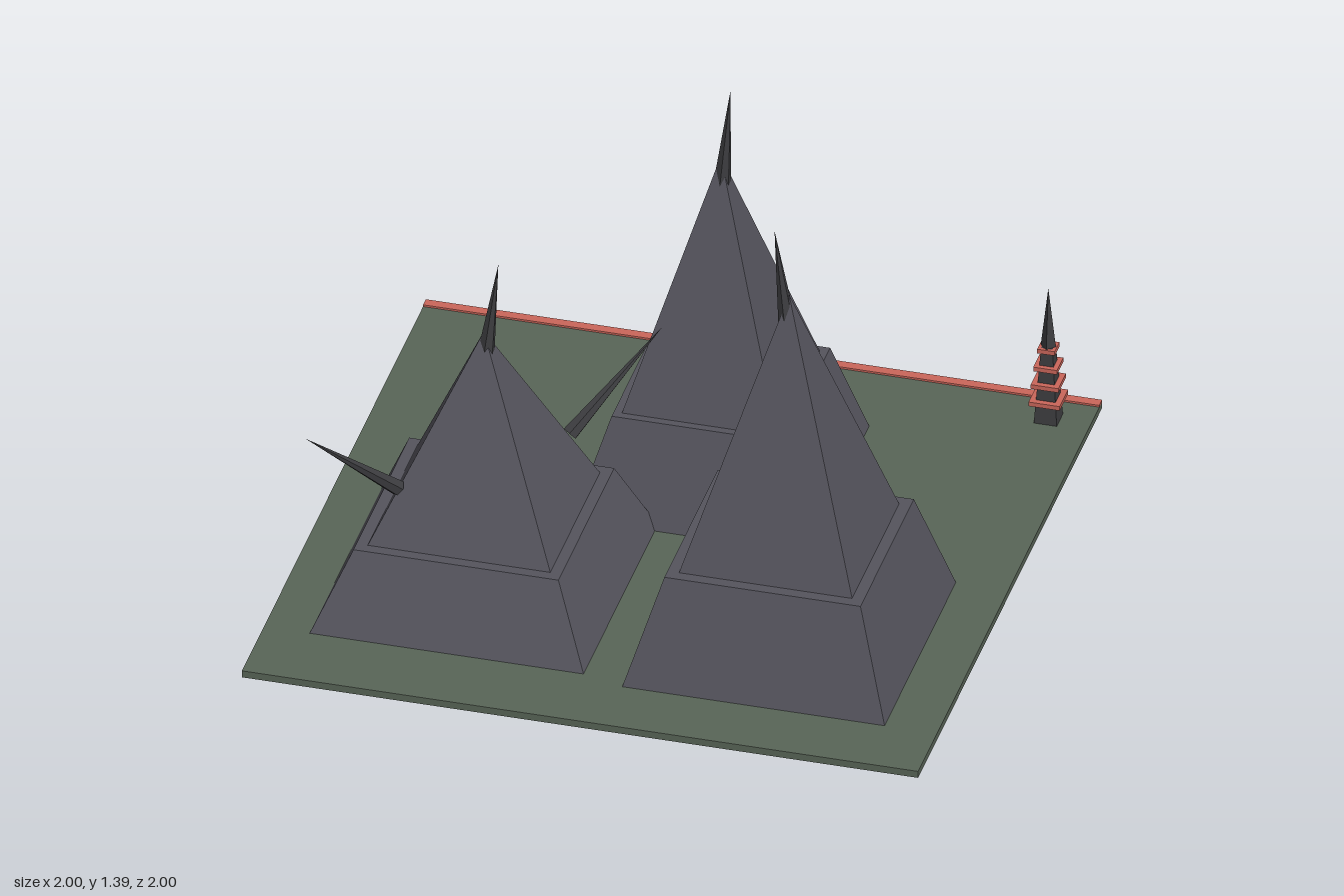
import * as THREE from 'three';

const material = (name, color) => {
  const m = new THREE.MeshStandardMaterial({ color, flatShading: true });
  m.name = name;
  return m;
};

export function createModel() {
  const rock = material('slate grey', 0x55545d);
  const horn = material('dark horn', 0x3c3c3f);
  const red = material('coral red', 0xcb665b);
  const moss = material('moss green', 0x596557);

  const model = new THREE.Group();
  model.name = 'spikedPyramids';

  const add = (parent, name, geometry, mat, x = 0, y = 0, z = 0) => {
    const mesh = new THREE.Mesh(geometry, mat);
    mesh.name = name;
    mesh.position.set(x, y, z);
    parent.add(mesh);
    return mesh;
  };

  // Square frustum with axis-aligned sides, from y0 up to y1
  const frustum = (parent, name, mat, half0, half1, y0, y1) => {
    const g = new THREE.CylinderGeometry(half1 * Math.SQRT2, half0 * Math.SQRT2, y1 - y0, 4);
    g.rotateY(Math.PI / 4);
    return add(parent, name, g, mat, 0, (y0 + y1) / 2, 0);
  };

  // Tapered rod between two points
  const rod = (parent, name, mat, from, to, r0, r1, sides) => {
    const a = new THREE.Vector3(...from), b = new THREE.Vector3(...to);
    const dir = b.clone().sub(a);
    const g = new THREE.CylinderGeometry(r1, r0, dir.length(), sides);
    const mesh = add(parent, name, g, mat, ...a.clone().add(b).multiplyScalar(0.5).toArray());
    mesh.quaternion.setFromUnitVectors(new THREE.Vector3(0, 1, 0), dir.normalize());
    return mesh;
  };

  // Ground slab with a red strip along the back edge
  const ground = 0.022;
  add(model, 'ground', new THREE.BoxGeometry(2, ground, 2), moss, 0, ground / 2, 0);
  add(model, 'backStrip', new THREE.BoxGeometry(2, 0.008, 0.03), red, 0, 0.024, -0.985);

  // Three pyramids: stepped base, steep upper part, leaning horn, red streak on the back
  const pyramids = [
    { name: 'leftPyramid', x: -0.46, z: 0.355, base: 0.405, ledge: 0.303, upper: 0.27,
      step: 0.26, apex: 0.865, hornY: 0.78, tip: [0.043, 1.1], streakTop: 0.38 },
    { name: 'backPyramid', x: 0.047, z: -0.358, base: 0.345, ledge: 0.254, upper: 0.23,
      step: 0.33, apex: 1.1, hornY: 1.0, tip: [0.029, 1.33], streakTop: 0.48 },
    { name: 'rightPyramid', x: 0.457, z: 0.407, base: 0.388, ledge: 0.29, upper: 0.256,
      step: 0.35, apex: 1.18, hornY: 1.07, tip: [-0.043, 1.39], streakTop: 0.51 },
  ];
  for (const p of pyramids) {
    const group = new THREE.Group();
    group.name = p.name;
    group.position.set(p.x, 0, p.z);
    model.add(group);

    frustum(group, 'steppedBase', rock, p.base, p.ledge, ground, p.step);
    frustum(group, 'upperPyramid', rock, p.upper, 0, p.step, p.apex);
    rod(group, 'topHorn', horn, [p.tip[0] * 0.1, p.hornY, 0], [p.tip[0], p.tip[1], 0], 0.027, 0, 6);

    // The streak runs from the lower face to the upper face
    const low = 0.09;
    const zLow = -THREE.MathUtils.mapLinear(low, ground, p.step, p.base, p.ledge);
    const zHigh = -THREE.MathUtils.mapLinear(p.streakTop, p.step, p.apex, p.upper, 0);
    rod(group, 'redStreak', red, [0, low, zLow], [0, p.streakTop, zHigh], 0.016, 0.014, 6);

    // Two horns on opposite corners of the left pyramid
    if (p.name === 'leftPyramid') {
      for (const s of [1, -1]) {
        rod(group, 'cornerHorn', horn, [s * 0.2, 0.425, -s * 0.2], [s * 0.415, 0.69, -s * 0.415], 0.025, 0, 6);
      }
    }
  }

  // Small tower with red square tiers
  const tower = new THREE.Group();
  tower.name = 'tower';
  tower.position.set(0.875, 0, -0.875);
  model.add(tower);
  frustum(tower, 'towerBody', horn, 0.034, 0.017, ground, 0.27);
  add(tower, 'towerSpire', new THREE.ConeGeometry(0.023, 0.2, 4), horn, 0, 0.365, 0);
  [0.046, 0.041, 0.035, 0.026].forEach((half, i) => {
    const g = new THREE.BoxGeometry(half * 2, 0.014, half * 2);
    add(tower, 'towerTier', g, red, 0, 0.092 + i * 0.057, 0);
  });

  return model;
}
